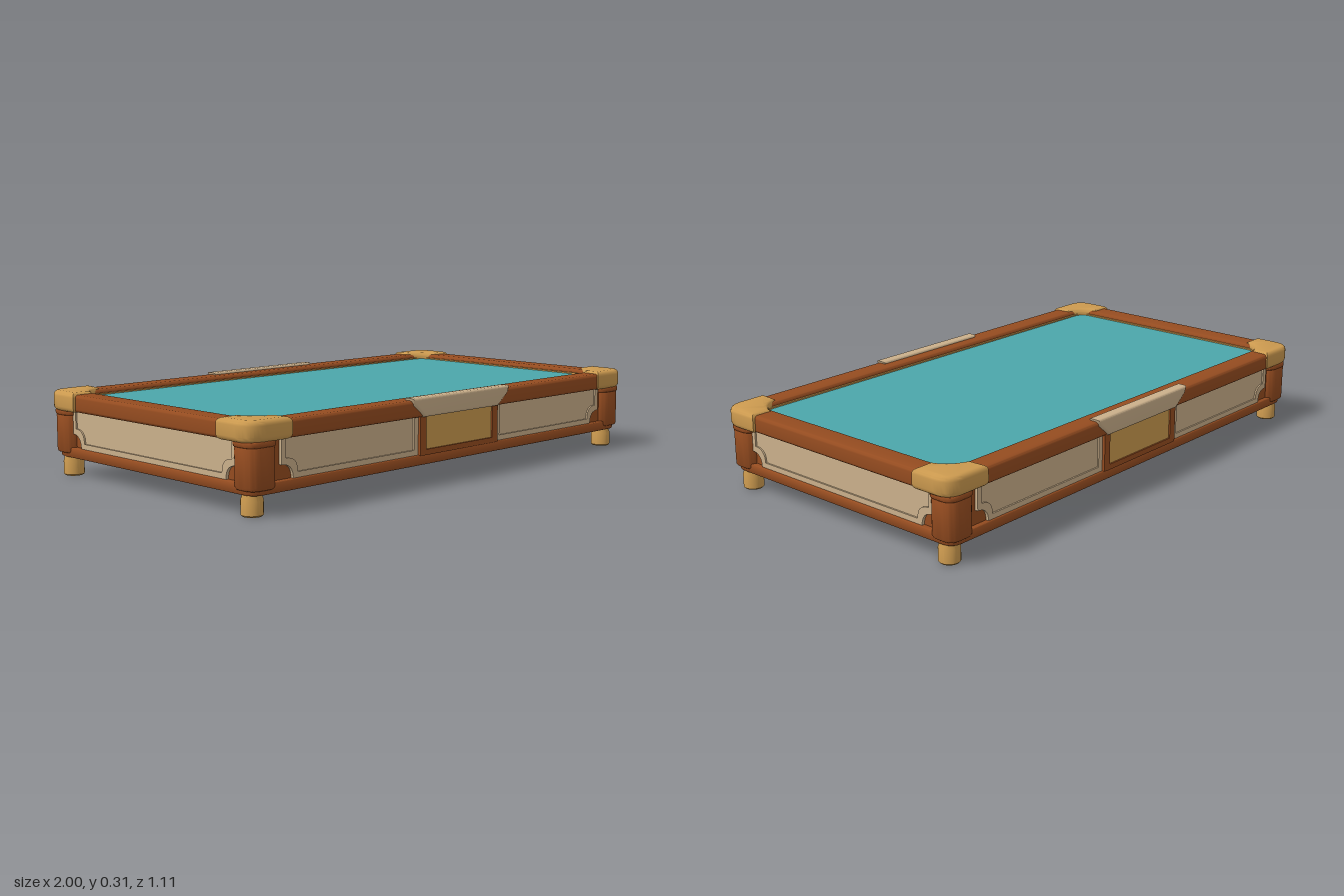
import * as THREE from 'three';
import { toCreasedNormals } from 'three/addons/utils/BufferGeometryUtils.js';

const material = (name, color, side = THREE.FrontSide) =>
  Object.assign(new THREE.MeshStandardMaterial({ color, side }), { name });

// Rounded rectangle from half sizes
function roundedRect(hx, hy, r) {
  const s = new THREE.Shape();
  s.moveTo(-hx + r, -hy);
  s.lineTo(hx - r, -hy);
  s.quadraticCurveTo(hx, -hy, hx, -hy + r);
  s.lineTo(hx, hy - r);
  s.quadraticCurveTo(hx, hy, hx - r, hy);
  s.lineTo(-hx + r, hy);
  s.quadraticCurveTo(-hx, hy, -hx, hy - r);
  s.lineTo(-hx, -hy + r);
  s.quadraticCurveTo(-hx, -hy, -hx + r, -hy);
  return s;
}

// Extrusion whose bevel stays inside the outline and the depth
function solid(shape, depth, bevel = 0) {
  const geo = new THREE.ExtrudeGeometry(shape, {
    depth: depth - 2 * bevel, curveSegments: 8, bevelEnabled: bevel > 0,
    bevelSize: bevel, bevelThickness: bevel, bevelOffset: -bevel, bevelSegments: 4,
  });
  geo.translate(0, 0, bevel);
  return toCreasedNormals(geo, 0.6);
}

// Plan outline raised from y0 to y1
const slab = (shape, y0, y1, bevel) =>
  solid(shape, y1 - y0, bevel).rotateX(-Math.PI / 2).translate(0, y0, 0);

// Panel outline with scooped lower corners of size n0 (left) and n1 (right)
function panelShape(x0, x1, y0, y1, n0, n1) {
  const s = new THREE.Shape();
  s.moveTo(x0, y1);
  s.lineTo(x0, y0 + n0);
  if (n0) s.quadraticCurveTo(x0 + n0, y0 + n0, x0 + n0, y0);
  s.lineTo(x1 - n1, y0);
  if (n1) s.quadraticCurveTo(x1 - n1, y0 + n1, x1, y0 + n1);
  s.lineTo(x1, y1);
  s.closePath();
  return s;
}

// Corner cap outline for the corner at signs sx, sy
function capShape(sx, sy) {
  const s = new THREE.Shape();
  s.moveTo(sx * 0.82, sy * 0.552);
  s.lineTo(sx * 0.93, sy * 0.552);
  s.quadraticCurveTo(sx * 1.0, sy * 0.552, sx * 1.0, sy * 0.482);
  s.lineTo(sx * 1.0, sy * 0.39);
  s.lineTo(sx * 0.915, sy * 0.39);
  s.quadraticCurveTo(sx * 0.895, sy * 0.455, sx * 0.825, sy * 0.475);
  s.closePath();
  return s;
}

export function createModel() {
  const model = new THREE.Group();
  const wood = material('brown wood', 0x954c20);
  const gold = material('golden metal', 0xcc9a4f);
  const cream = material('cream inlay', 0xcbb08b);
  const cloth = material('teal cloth', 0x4ba6aa);

  const add = (parent, name, geo, mat) => {
    const mesh = new THREE.Mesh(geo, mat);
    mesh.name = name;
    parent.add(mesh);
    return mesh;
  };

  // Cabinet and plinth
  add(model, 'cabinet', slab(roundedRect(0.955, 0.52, 0.03), 0.08, 0.27), wood);
  add(model, 'plinth', slab(roundedRect(0.975, 0.537, 0.05), 0.07, 0.107, 0.006), wood);

  // Top rail ring, trim and playing surface
  const railShape = roundedRect(0.99, 0.547, 0.07);
  railShape.holes.push(roundedRect(0.902, 0.463, 0.05));
  add(model, 'topRail', slab(railShape, 0.24, 0.302, 0.012), wood);
  const trimShape = roundedRect(0.904, 0.465, 0.05);
  trimShape.holes.push(roundedRect(0.893, 0.455, 0.045));
  add(model, 'innerTrim', slab(trimShape, 0.26, 0.288), gold);
  add(model, 'playingCloth', slab(roundedRect(0.896, 0.458, 0.045), 0.26, 0.283), cloth);

  // Corner posts, caps and feet
  const footProfile = [[0, 0], [0.032, 0], [0.037, 0.005], [0.037, 0.052], [0.033, 0.065], [0.033, 0.075]]
    .map(([r, y]) => new THREE.Vector2(r, y));
  for (const sx of [-1, 1]) for (const sz of [-1, 1]) {
    const corner = new THREE.Group();
    corner.name = 'corner';
    model.add(corner);
    add(corner, 'post', slab(roundedRect(0.058, 0.054, 0.045), 0.085, 0.228, 0.01), wood)
      .position.set(sx * 0.927, 0, sz * 0.491);
    add(corner, 'postCollar', slab(roundedRect(0.062, 0.056, 0.045), 0.222, 0.242, 0.005), wood)
      .position.set(sx * 0.926, 0, sz * 0.49);
    add(corner, 'cornerCap', slab(capShape(sx, -sz), 0.238, 0.31, 0.018), gold);
    add(corner, 'foot', toCreasedNormals(new THREE.LatheGeometry(footProfile, 24), 0.5), gold)
      .position.set(sx * 0.937, 0, sz * 0.488);
  }

  // Framed inlay panel facing +z
  const addPanel = (parent, x0, x1, n0, n1) => {
    const t = 0.02;
    const frame = panelShape(x0, x1, 0.106, 0.25, n0, n1);
    frame.holes.push(panelShape(x0 + t, x1 - t, 0.106 + t, 0.244, n0, n1));
    add(parent, 'panelFrame', solid(frame, 0.012), cream);
    add(parent, 'panelInlay', solid(panelShape(x0 + 0.01, x1 - 0.01, 0.116, 0.247, n0, n1), 0.006), cream);
  };

  // Long sides: two panels, a drawer front and a rail clip
  const clip = new THREE.Shape(
    [[-0.262, 0.31], [-0.255, 0.285], [-0.2, 0.24], [0.2, 0.24], [0.255, 0.285], [0.262, 0.31]]
      .map(([x, y]) => new THREE.Vector2(x, y)));
  for (const turn of [0, Math.PI]) {
    const side = new THREE.Group();
    side.name = turn ? 'backSide' : 'frontSide';
    side.rotation.y = turn;
    model.add(side);
    const inlays = new THREE.Group();
    inlays.name = 'inlays';
    inlays.position.z = 0.519;
    side.add(inlays);
    addPanel(inlays, 0.212, 0.85, 0, 0.05);
    addPanel(inlays, -0.85, -0.212, 0.05, 0);
    add(inlays, 'drawerFront', new THREE.BoxGeometry(0.36, 0.115, 0.018), gold).position.set(0, 0.181, 0.006);
    for (const s of [-1, 1])
      add(inlays, 'stile', new THREE.BoxGeometry(0.03, 0.14, 0.03), wood).position.set(s * 0.195, 0.175, 0.006);
    add(inlays, 'drawerRail', new THREE.BoxGeometry(0.4, 0.02, 0.03), wood).position.set(0, 0.114, 0.006);
    add(side, 'railClip', solid(clip, 0.046, 0.01), cream).position.z = 0.507;
  }

  // Short sides: one wide panel each
  for (const s of [-1, 1]) {
    const side = new THREE.Group();
    side.name = s > 0 ? 'leftSide' : 'rightSide';
    side.rotation.y = s * Math.PI / 2;
    side.position.x = s * 0.954;
    model.add(side);
    addPanel(side, -0.447, 0.447, 0.05, 0.05);
  }
  return model;
}
